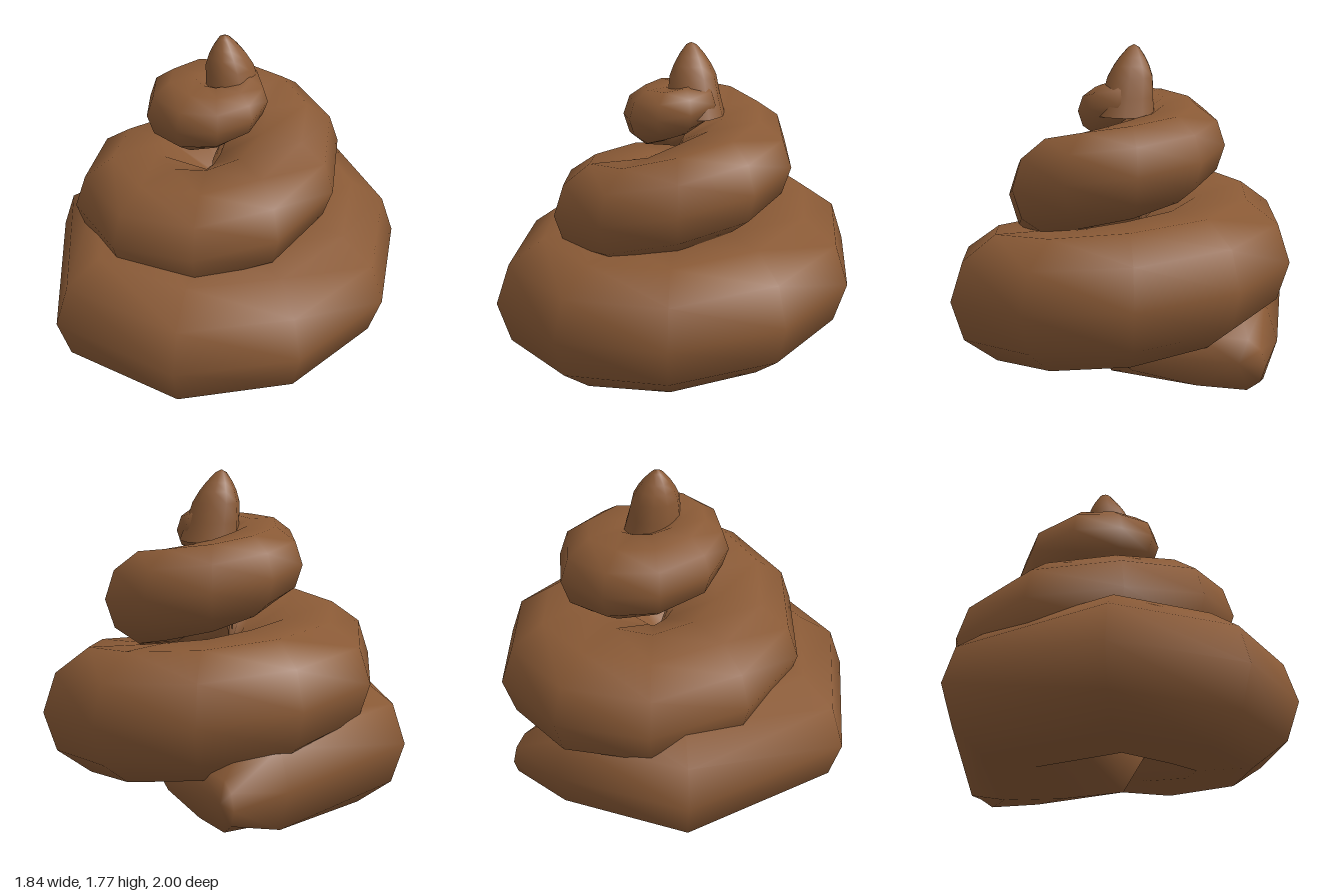
import * as THREE from 'three';

const SIDES = 10;

// Outermost point of the coil at each station: x, z, height, tube radius,
// and how far the hidden inner half is widened toward the middle
const STATIONS = [
  [-0.76, -0.66, 0.19, 0.14, 5], [-0.84, -0.36, 0.24, 0.36, 1.8],
  [-0.92, 0.44, 0.35, 0.36, 1.6], [-0.14, 1.0, 0.36, 0.375, 1.6],
  [0.58, 0.76, 0.365, 0.38, 1.6], [0.92, 0.2, 0.4, 0.365, 1.6],
  [0.87, -0.42, 0.45, 0.36, 1.6], [0.46, -0.88, 0.5, 0.36, 1.6],
  [-0.1, -1.0, 0.55, 0.36, 1.6], [-0.62, -0.78, 0.6, 0.35, 1.6],
  [-0.9, -0.32, 0.65, 0.34, 1.6], [-0.87, 0.21, 0.7, 0.32, 1.6],
  [-0.52, 0.6, 0.76, 0.305, 1.6], [-0.03, 0.69, 0.79, 0.3, 1.6],
  [0.4, 0.49, 0.86, 0.29, 1.6], [0.61, 0.1, 0.93, 0.28, 1.6],
  [0.55, -0.32, 1.03, 0.27, 1.6], [0.26, -0.61, 1.1, 0.26, 1.6],
  [-0.11, -0.66, 1.15, 0.25, 1.6], [-0.43, -0.49, 1.2, 0.235, 1.5],
  [-0.56, -0.19, 1.25, 0.22, 1.5], [-0.49, 0.1, 1.29, 0.205, 1.4],
  [-0.27, 0.28, 1.33, 0.19, 1.3], [-0.01, 0.28, 1.35, 0.175, 1.3],
  [0.17, 0.15, 1.38, 0.155, 1.3], [0.22, -0.04, 1.41, 0.135, 1.3],
  [0.15, -0.2, 1.44, 0.13, 1.2], [0.0, -0.27, 1.47, 0.12, 1],
  [-0.13, -0.2, 1.5, 0.08, 1],
];

// Tapering tube that winds upward, flattened where it rests on the ground
function coilGeometry() {
  const positions = [], index = [], centres = [];
  const last = STATIONS.length - 1;
  STATIONS.forEach(([x, z, y, r, inner], i) => {
    const a = STATIONS[Math.max(i - 1, 0)], b = STATIONS[Math.min(i + 1, last)];
    const out = new THREE.Vector2(a[1] - b[1], b[0] - a[0]).normalize();
    centres.push([x - out.x * r, y, z - out.y * r]);
    for (let j = 0; j < SIDES; j++) {
      const t = (j / SIDES) * Math.PI * 2;
      const c = Math.cos(t);
      const w = r * ((c < 0 ? c * inner : c) - 1);
      positions.push(x + out.x * w, Math.max(0, y + r * Math.sin(t)), z + out.y * w);
    }
  });
  for (let i = 0; i < last; i++) {
    for (let j = 0; j < SIDES; j++) {
      const p = i * SIDES + j, q = i * SIDES + (j + 1) % SIDES;
      index.push(p, p + SIDES, q, q, p + SIDES, q + SIDES);
    }
  }
  // End caps
  const start = positions.length / 3;
  positions.push(...centres[0], ...centres[last]);
  for (let j = 0; j < SIDES; j++) {
    const k = (j + 1) % SIDES;
    index.push(start, j, k, start + 1, last * SIDES + k, last * SIDES + j);
  }
  const geometry = new THREE.BufferGeometry();
  geometry.setAttribute('position', new THREE.Float32BufferAttribute(positions, 3));
  geometry.setIndex(index);
  geometry.computeVertexNormals();
  return geometry;
}

// Pointed tip, sheared so that its base leans into the last turn
function tipGeometry() {
  const profile = [[0.16, 1.4], [0.14, 1.5], [0.125, 1.6], [0.098, 1.66], [0.07, 1.705], [0.03, 1.755], [0, 1.77]]
    .map(([r, y]) => new THREE.Vector2(r, y));
  const lean = new THREE.Matrix4().set(
    1, -0.12, 0, 0.132,
    0, 1, 0, 0,
    0, 0.12, 1, -0.302,
    0, 0, 0, 1,
  );
  return new THREE.LatheGeometry(profile, SIDES).applyMatrix4(lean);
}

export function createModel() {
  const group = new THREE.Group();
  group.name = 'swirl';
  const brown = new THREE.MeshStandardMaterial({ color: 0x8a5a36 });
  brown.name = 'brown';

  const coil = new THREE.Mesh(coilGeometry(), brown);
  coil.name = 'coil';
  const tip = new THREE.Mesh(tipGeometry(), brown);
  tip.name = 'tip';
  group.add(coil, tip);

  return group;
}
